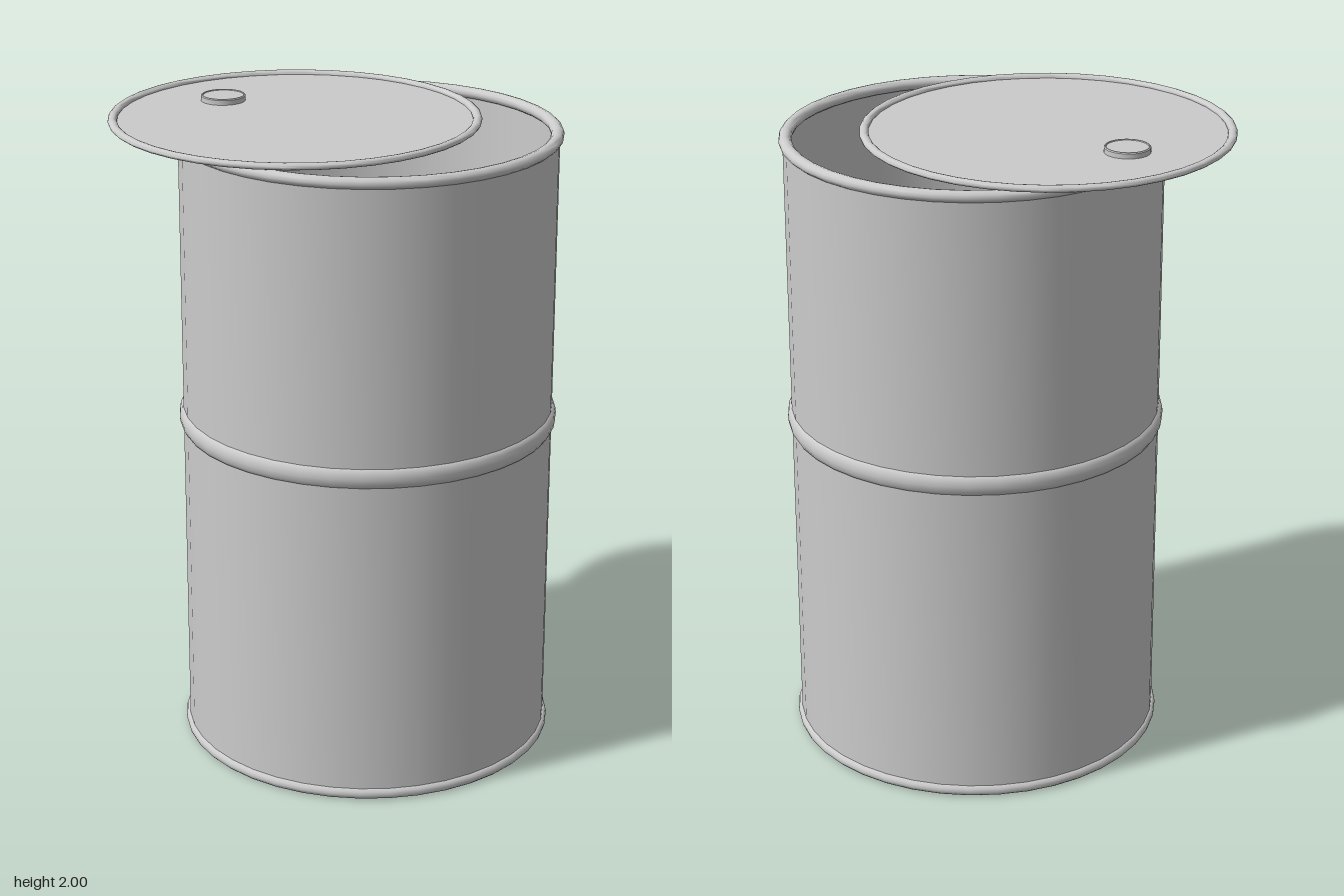
import * as THREE from 'three';
import { toCreasedNormals } from 'three/addons/utils/BufferGeometryUtils.js';

const SIDES = 40;
const material = new THREE.MeshStandardMaterial({ color: 0xcccccc, side: THREE.DoubleSide });

// Turned part from a profile of [radius, height] pairs, listed bottom to top on the outside
function turned(name, profile, sides = SIDES) {
  const points = profile.map(([r, y]) => new THREE.Vector2(r, y));
  const geometry = toCreasedNormals(new THREE.LatheGeometry(points, sides), 0.75);
  const mesh = new THREE.Mesh(geometry, material);
  mesh.name = name;
  return mesh;
}

// Rounded bead running around a part: an elliptical section turned about the axis
function bead(name, radius, y, halfWidth, halfHeight) {
  const profile = [];
  for (let i = 0; i <= 12; i++) {
    const a = -Math.PI / 2 + (i / 12) * Math.PI * 2;
    profile.push([radius + Math.cos(a) * halfWidth, y + Math.sin(a) * halfHeight]);
  }
  return turned(name, profile);
}

export function createModel() {
  const model = new THREE.Group();
  model.name = 'openBarrel';

  // Hollow drum with a recessed base
  const drum = new THREE.Group();
  drum.name = 'drum';
  drum.position.set(0.055, 0, 0.08);
  drum.add(
    turned('wall', [[0.573, 0.01], [0.573, 1.955], [0.562, 1.955], [0.562, 0.02]]),
    turned('base', [[0, 0.012], [0.565, 0.012], [0.565, 0.022], [0, 0.022]]),
    bead('bottomRim', 0.567, 0.018, 0.018, 0.018),
    bead('middleHoop', 0.567, 1.06, 0.019, 0.033),
    bead('topRim', 0.565, 1.953, 0.02, 0.018)
  );
  model.add(drum);

  // Loose lid pushed off to one side, with a raised lip
  const lid = new THREE.Group();
  lid.name = 'lid';
  lid.position.set(-0.078, 1.974, -0.102);
  lid.add(
    turned('lidPanel', [[0, 0], [0.552, 0], [0.552, 0.008], [0, 0.008]]),
    bead('lidLip', 0.549, 0.0105, 0.014, 0.0105)
  );

  // Bung cap near the edge of the lid
  const cap = turned('bungCap', [
    [0.069, 0.006], [0.069, 0.023], [0.066, 0.026], [0.063, 0.026], [0.062, 0.023], [0, 0.023]
  ], 32);
  cap.position.set(-0.022, 0, -0.308);
  lid.add(cap);
  model.add(lid);

  return model;
}
